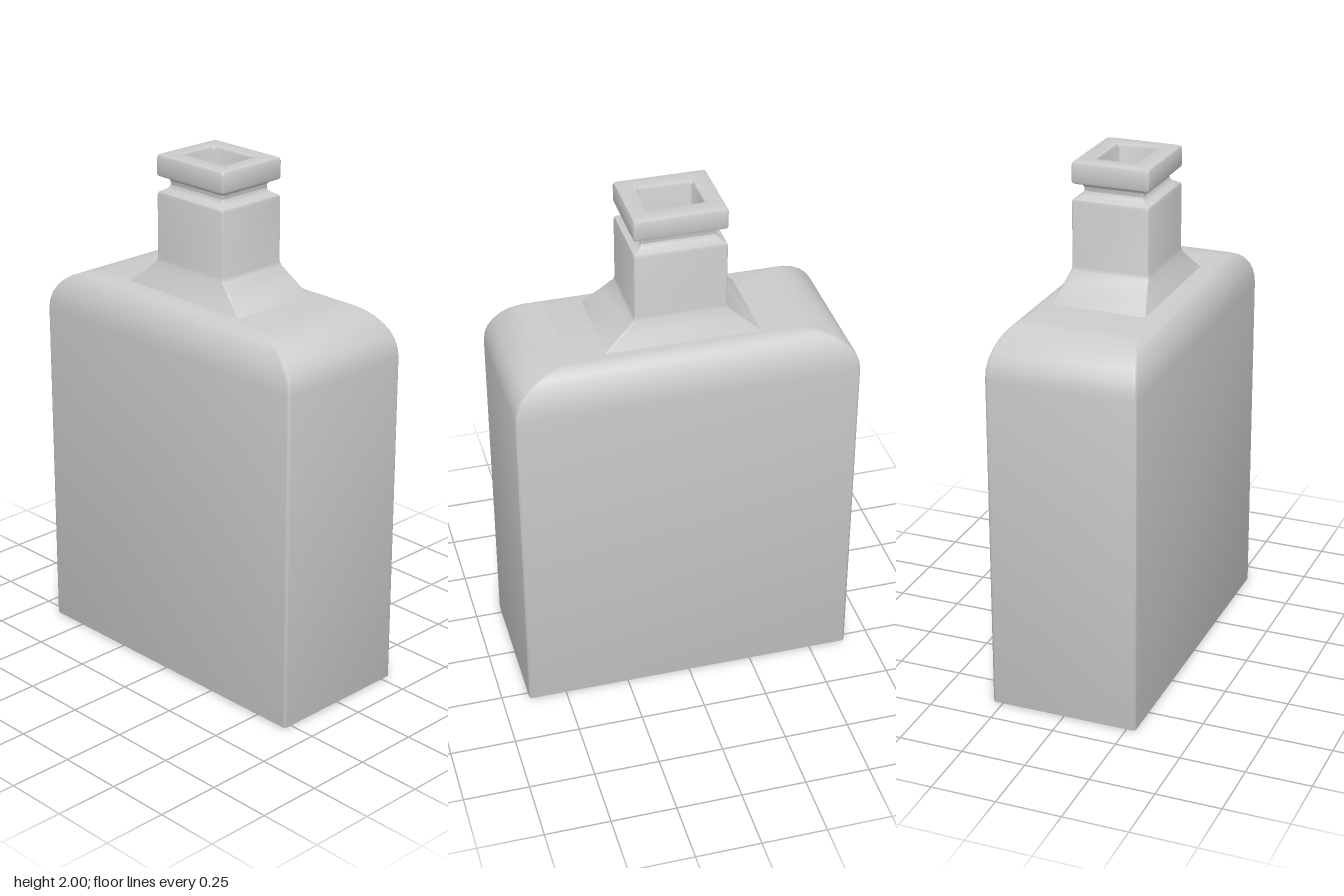
import * as THREE from 'three';
import { toCreasedNormals } from 'three/addons/utils/BufferGeometryUtils.js';

const material = new THREE.MeshStandardMaterial({ color: 0xcccccc });
const CORNER_STEPS = 3;

// Outline of a rectangle with rounded corners at one height
function ring([y, hx, hz, r]) {
  const points = [];
  const corners = [[1, 1], [-1, 1], [-1, -1], [1, -1]];
  corners.forEach(([sx, sz], q) => {
    for (let i = 0; i <= CORNER_STEPS; i++) {
      const a = (q + i / CORNER_STEPS) * Math.PI / 2;
      points.push([sx * (hx - r) + Math.cos(a) * r, y, sz * (hz - r) + Math.sin(a) * r]);
    }
  });
  return points;
}

// Skin over a stack of [y, halfX, halfZ, cornerRadius] sections, capped at both ends
function loft(name, sections) {
  const n = 4 * (CORNER_STEPS + 1);
  const positions = sections.flatMap(ring).flat();
  const index = [];
  for (let s = 0; s < sections.length - 1; s++) {
    for (let i = 0; i < n; i++) {
      const a = s * n + i, b = s * n + (i + 1) % n;
      index.push(a, a + n, b, b, a + n, b + n);
    }
  }
  const last = (sections.length - 1) * n;
  for (let i = 1; i < n - 1; i++) {
    index.push(0, i, i + 1);
    index.push(last, last + i + 1, last + i);
  }
  const geometry = new THREE.BufferGeometry();
  geometry.setAttribute('position', new THREE.Float32BufferAttribute(positions, 3));
  geometry.setIndex(index);
  const mesh = new THREE.Mesh(toCreasedNormals(geometry, 0.62), material);
  mesh.name = name;
  return mesh;
}

export function createModel() {
  const group = new THREE.Group();
  group.name = 'bottle';

  // Body: upright slab with a softened base and elliptical shoulders
  const body = [[0, 0.28, 0.64, 0.008], [0.003, 0.286, 0.646, 0.01], [0.01, 0.288, 0.648, 0.012]];
  const steps = 8;
  for (let i = 0; i <= steps; i++) {
    const a = i / steps * Math.PI / 2;
    body.push([1.32 + 0.172 * Math.sin(a), 0.21 + 0.078 * Math.cos(a), 0.44 + 0.208 * Math.cos(a), 0.012]);
  }
  group.add(loft('body', body));

  // Neck: flared foot, straight shaft and the groove under the lip
  group.add(loft('neck', [
    [1.48, 0.188, 0.305, 0.008],
    [1.495, 0.182, 0.288, 0.008],
    [1.545, 0.165, 0.229, 0.008],
    [1.59, 0.152, 0.178, 0.008],
    [1.605, 0.149, 0.173, 0.008],
    [1.845, 0.149, 0.173, 0.008],
    [1.856, 0.146, 0.17, 0.008],
    [1.866, 0.128, 0.152, 0.008],
    [1.874, 0.118, 0.142, 0.008],
    [1.885, 0.114, 0.138, 0.008],
  ]));

  // Lip: square collar whose top folds into the bore
  group.add(loft('lip', [
    [1.88, 0.114, 0.138, 0.008],
    [1.9, 0.115, 0.139, 0.008],
    [1.909, 0.122, 0.146, 0.008],
    [1.915, 0.14, 0.164, 0.008],
    [1.919, 0.147, 0.171, 0.008],
    [1.927, 0.15, 0.174, 0.01],
    [1.986, 0.15, 0.174, 0.01],
    [1.996, 0.146, 0.17, 0.01],
    [2, 0.137, 0.161, 0.01],
    [2, 0.086, 0.113, 0.012],
    [1.997, 0.079, 0.106, 0.012],
    [1.988, 0.075, 0.102, 0.012],
    [1.55, 0.075, 0.102, 0.012],
  ]));

  return group;
}
